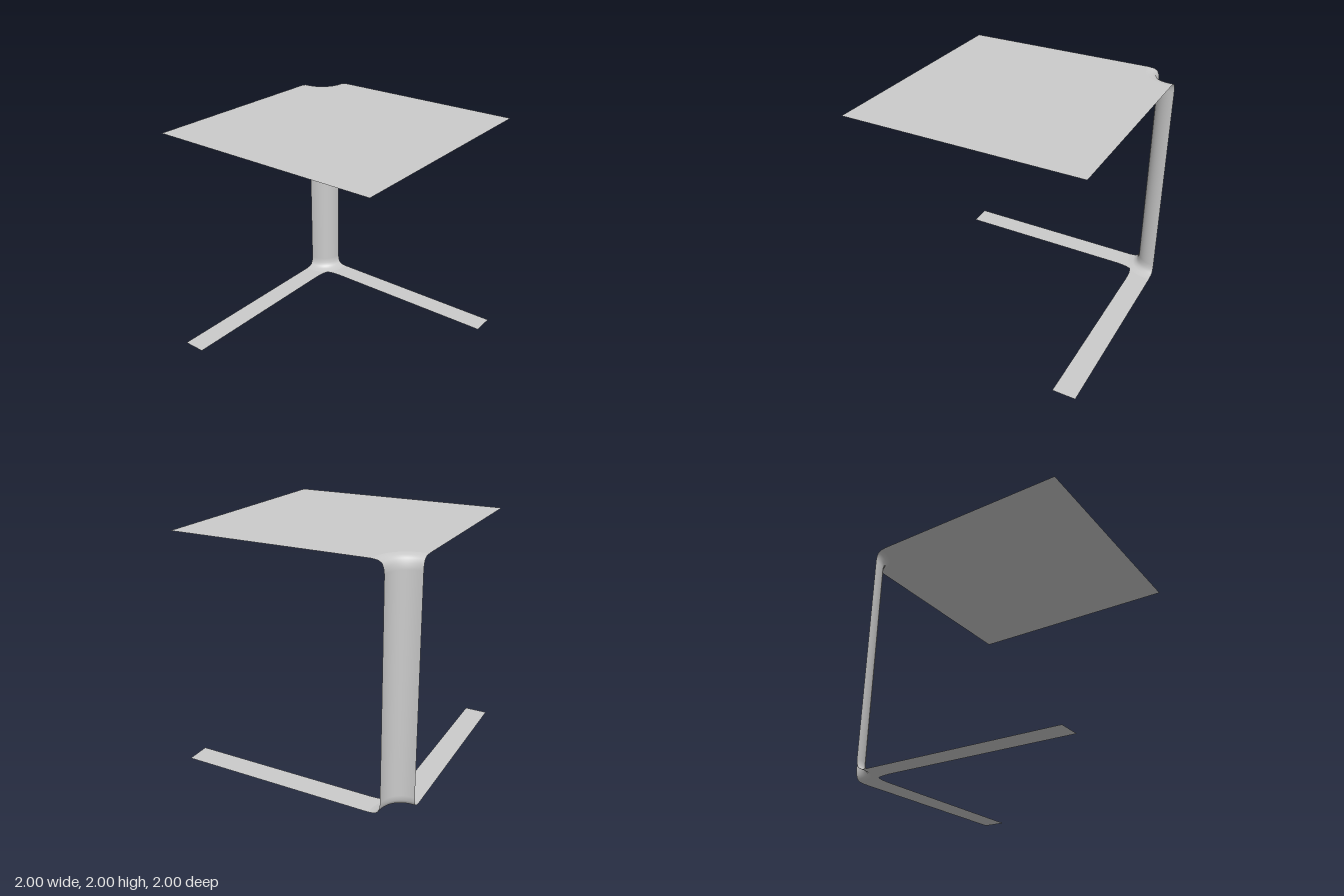
import * as THREE from 'three';

const SEG = 16;        // steps around the quarter-round column
const POWER = 2.3;     // slightly squarer than a circle

// Point on the quarter-round section, measured from the back corner
function section(radius, t) {
  const a = t * Math.PI / 2;
  const c = Math.max(0, Math.cos(a)), s = Math.max(0, Math.sin(a));
  return new THREE.Vector2(radius * c ** (2 / POWER), radius * s ** (2 / POWER));
}

export function createModel() {
  const group = new THREE.Group();
  const material = new THREE.MeshStandardMaterial({ color: 0xcccccc, side: THREE.DoubleSide });

  const add = (geometry, name) => {
    const mesh = new THREE.Mesh(geometry, material);
    mesh.name = name;
    group.add(mesh);
  };

  // Flat sheet drawn from the back corner, laid horizontally at a height
  const sheet = (shape, y, name) => {
    const geometry = new THREE.ShapeGeometry(shape, 8);
    geometry.rotateX(Math.PI / 2).translate(-1, y, -1);
    add(geometry, name);
  };

  // Column: curved sheet flaring out at both ends, as [radius, height]
  const flare = [[0.3, 0], [0.25, 0.006], [0.22, 0.022], [0.206, 0.055], [0.2, 0.1]];
  const profile = [...flare, ...flare.map(([r, y]) => [r, 2 - y]).reverse()];
  const column = new THREE.PlaneGeometry(1, 1, SEG, profile.length - 1);
  const pos = column.attributes.position;
  for (let i = 0; i < pos.count; i++) {
    const [r, y] = profile[Math.floor(i / (SEG + 1))];
    const p = section(r, (i % (SEG + 1)) / SEG);
    pos.setXYZ(i, p.x - 1, y, p.y - 1);
  }
  column.computeVertexNormals();
  add(column, 'column');

  // Edge where the flares meet the flat sheets
  const cutCorner = (shape) => {
    for (let i = 0; i <= SEG; i++) {
      const p = section(0.3, i / SEG);
      shape.lineTo(p.x, p.y);
    }
  };

  // Table top: square with the back corner running into the column
  const top = new THREE.Shape();
  top.moveTo(0, 2);
  top.lineTo(2, 2);
  top.lineTo(2, 0);
  cutCorner(top);
  sheet(top, 2, 'tableTop');

  // Base: two floor strips joined by a softened inner corner
  const base = new THREE.Shape();
  base.moveTo(0, 2);
  base.lineTo(0.2, 2);
  base.lineTo(0.2, 0.4);
  base.quadraticCurveTo(0.2, 0.28, 0.226, 0.226);
  base.quadraticCurveTo(0.28, 0.2, 0.4, 0.2);
  base.lineTo(2, 0.2);
  base.lineTo(2, 0);
  cutCorner(base);
  sheet(base, 0, 'baseStrips');

  return group;
}
